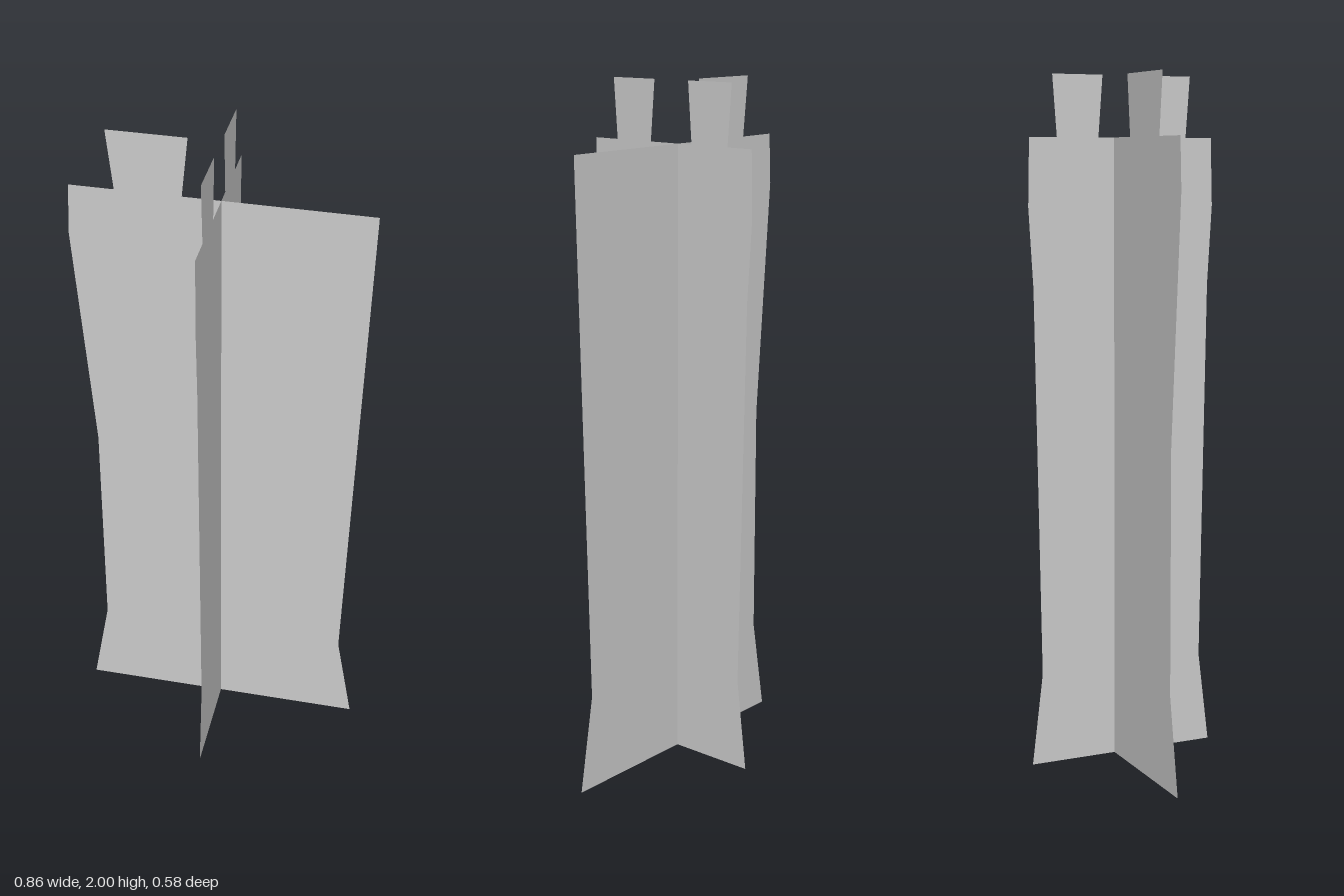
import * as THREE from 'three';

// Flat double-sided panel cut from an outline of [across, height] points
function panel(name, outline) {
  const shape = new THREE.Shape(outline.map(([a, y]) => new THREE.Vector2(a, y)));
  const material = new THREE.MeshStandardMaterial({
    color: 0xcccccc, flatShading: true, side: THREE.DoubleSide,
  });
  const mesh = new THREE.Mesh(new THREE.ShapeGeometry(shape), material);
  mesh.name = name;
  return mesh;
}

export function createModel() {
  const model = new THREE.Group();
  model.name = 'crossedPanels';

  // Wide panel facing front, a little behind the middle, with one tab on its right
  const wide = panel('widePanel', [
    [-0.425, 0], [0.428, 0], [0.379, 0.28], [0.423, 1.825],
    [-0.108, 1.825], [-0.09, 2], [-0.314, 2], [-0.295, 1.825],
    [-0.422, 1.825], [-0.429, 1.68], [-0.375, 0.98], [-0.375, 0.28],
  ]);
  wide.position.z = -0.025;
  model.add(wide);

  // Narrow panel running front to back, with two tabs
  const narrow = panel('narrowPanel', [
    [-0.289, 0], [0.29, 0], [0.257, 0.27], [0.277, 1.4], [0.291, 1.63], [0.286, 1.825],
    [0.203, 1.825], [0.216, 2], [0.062, 2], [0.076, 1.825],
    [-0.074, 1.825], [-0.061, 2], [-0.215, 2], [-0.202, 1.825],
    [-0.286, 1.825], [-0.29, 1.63], [-0.276, 1.4], [-0.256, 0.27],
  ]);
  narrow.geometry.rotateY(-Math.PI / 2);
  model.add(narrow);

  return model;
}
